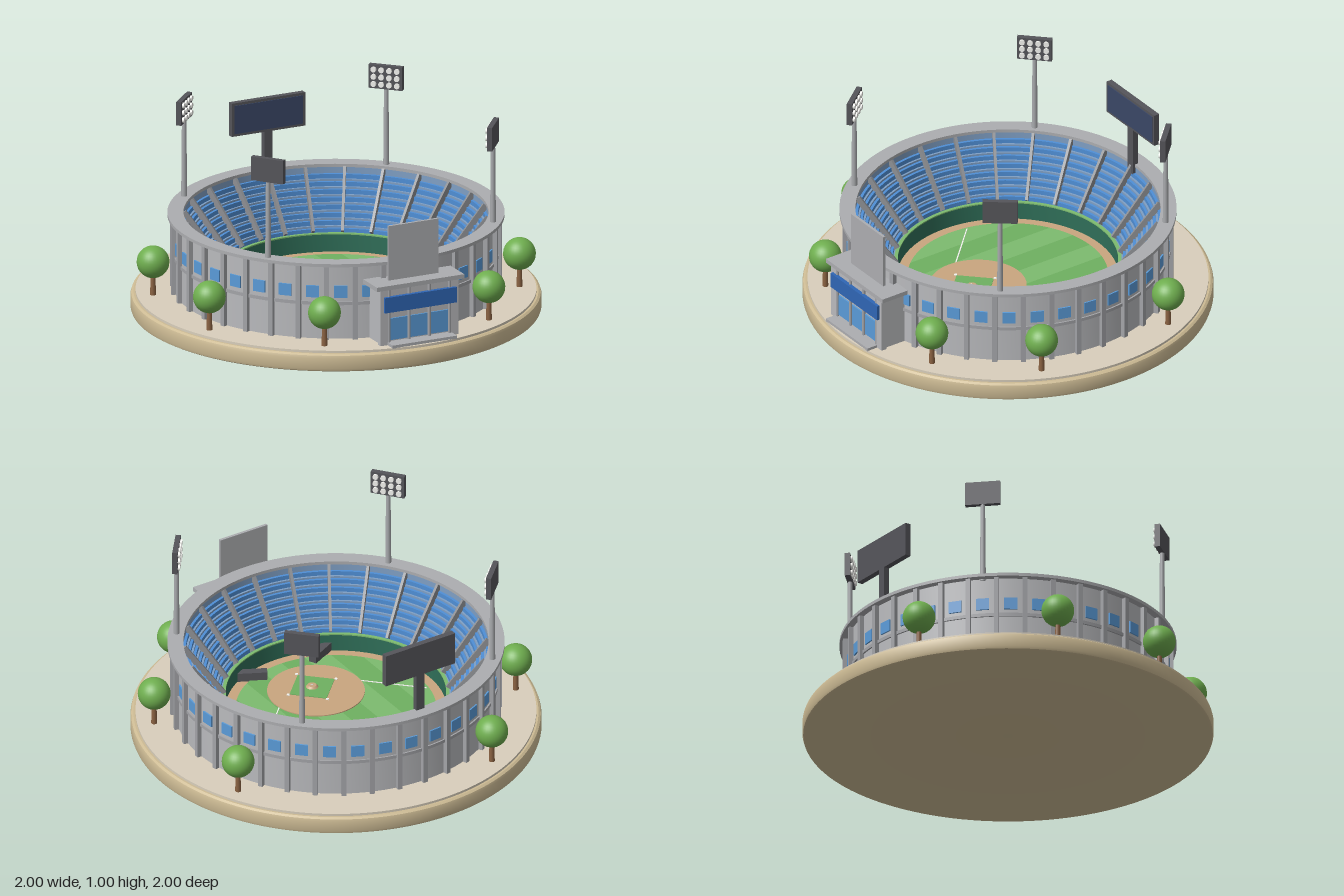
import * as THREE from 'three';
import { toCreasedNormals } from 'three/addons/utils/BufferGeometryUtils.js';

const mat = (color) => new THREE.MeshStandardMaterial({ color });
const M = {
  base: mat(0xcdbb94), plaza: mat(0xd9cfbc), wall: mat(0xb9babd), trim: mat(0xa3a4a8),
  rim: mat(0xacadb0), seat: mat(0x4f8fd6), step: mat(0x7f9fc4), aisle: mat(0x8d8f93),
  glass: mat(0x5a9bd8), sign: mat(0x2f66b5), fence: mat(0x2f6e58), dirt: mat(0xc9a67f),
  grassA: mat(0x6fb061), grassB: mat(0x7dbb6f), white: mat(0xf2f2ee), dark: mat(0x55555a),
  screen: mat(0x3a4766), trunk: mat(0x8a6242), leaf: mat(0x6fae4f), pole: mat(0xa8aaad),
};

function add(parent, name, geo, material, x = 0, y = 0, z = 0) {
  const m = new THREE.Mesh(geo, material);
  m.name = name;
  m.position.set(x, y, z);
  parent.add(m);
  return m;
}
const box = (w, h, d) => new THREE.BoxGeometry(w, h, d);
const cyl = (r0, r1, h, n = 20) => new THREE.CylinderGeometry(r0, r1, h, n);

// Revolved cross-section with crisp edges
function lathe(points, segments = 96) {
  const g = new THREE.LatheGeometry(points.map((p) => new THREE.Vector2(...p)), segments);
  return toCreasedNormals(g, 0.5);
}
const ring = (r0, r1, y0, y1) => lathe([[r0, y0], [r1, y0], [r1, y1], [r0, y1], [r0, y0]]);

// Group whose +z points outward from the centre at the given angle
function spoke(parent, name, angle) {
  const g = new THREE.Group();
  g.name = name;
  g.rotation.y = angle;
  parent.add(g);
  return g;
}

function addBase(root) {
  add(root, 'base', lathe([[0, 0], [0.985, 0], [0.996, 0.006], [1, 0.018], [1, 0.07],
    [0.996, 0.083], [0.985, 0.09], [0, 0.09]], 128), M.base);
  add(root, 'plaza', cyl(0.975, 0.975, 0.02, 128), M.plaza, 0, 0.092, 0);
}

function addShell(root) {
  add(root, 'outerWall', ring(0.75, 0.785, 0.1, 0.48), M.wall);
  add(root, 'beltCourse', ring(0.78, 0.793, 0.275, 0.292), M.trim);
  add(root, 'rim', ring(0.742, 0.82, 0.478, 0.494), M.rim);
  for (let i = 0; i < 36; i++) {
    const a = (i * Math.PI) / 18;
    add(spoke(root, 'pilaster', a), 'pilasterShaft', box(0.024, 0.38, 0.034), M.trim, 0, 0.29, 0.79);
    const w = spoke(root, 'window', a + Math.PI / 36);
    add(w, 'windowPane', box(0.064, 0.06, 0.016), M.glass, 0, 0.343, 0.784);
  }
}

function addStands(root) {
  // Stepped terrace with a band of seats on each tier
  const rows = 8, r0 = 0.55, r1 = 0.745, y0 = 0.2, y1 = 0.455;
  const dr = (r1 - r0) / rows, dy = (y1 - y0) / rows;
  const profile = [[r1 + 0.01, 0.1], [r1 + 0.01, 0.48], [r1, 0.48]];
  for (let i = rows - 1; i >= 0; i--) {
    const r = r0 + i * dr, y = y0 + i * dy;
    profile.push([r + dr, y], [r, y]);
    add(root, 'seatRow', ring(r + dr * 0.42, r + dr * 0.97, y, y + dy * 0.7), M.seat);
  }
  profile.push([r0, 0.1]);
  add(root, 'terrace', lathe(profile), M.step);
  // Radial stairways
  const rise = y1 - y0 + 0.01, run = r1 - r0;
  for (let i = 0; i < 24; i++) {
    const s = add(spoke(root, 'aisle', (i * Math.PI) / 12), 'aisleBeam',
      box(0.014, 0.03, Math.hypot(rise, run)), M.aisle, 0, 0.345, 0.645);
    s.rotation.x = -Math.atan2(rise, run);
  }
  add(root, 'fieldFence', ring(0.538, 0.551, 0.1, 0.2), M.fence);
  add(root, 'fenceCap', ring(0.536, 0.553, 0.2, 0.206), M.grassB);
}

function addField(root) {
  add(root, 'warningTrack', cyl(0.545, 0.545, 0.012, 96), M.dirt, 0, 0.106, 0);
  // Mown stripes clipped to a circle
  const R = 0.488, n = 8;
  for (let i = 0; i < n; i++) {
    const a0 = -R + (2 * R * i) / n, a1 = a0 + (2 * R) / n, pts = [];
    for (let k = 0; k <= 24; k++) {
      const x = a0 + ((a1 - a0) * k) / 24;
      pts.push(new THREE.Vector2(x, Math.sqrt(Math.max(0, R * R - x * x))));
    }
    const lower = pts.map((p) => new THREE.Vector2(p.x, -p.y)).reverse();
    const g = new THREE.ShapeGeometry(new THREE.Shape([...pts, ...lower]));
    add(root, 'grassStripe', g, i % 2 ? M.grassA : M.grassB, 0, 0.116, 0).rotation.x = -Math.PI / 2;
  }
  // Foul lines
  for (const s of [-1, 1]) {
    add(root, 'foulLine', box(0.006, 0.003, 0.66), M.white, s * 0.235, 0.117, 0.145)
      .rotation.y = -s * Math.PI / 4;
  }
  add(root, 'infieldDirt', cyl(0.238, 0.238, 0.006, 64), M.dirt, 0, 0.118, 0.18);
  add(root, 'infieldGrass', box(0.184, 0.006, 0.184), M.grassA, 0, 0.121, 0.215).rotation.y = Math.PI / 4;
  add(root, 'mound', cyl(0.022, 0.032, 0.012, 32), M.dirt, 0, 0.128, 0.215);
  add(root, 'moundPlate', box(0.014, 0.003, 0.005), M.white, 0, 0.135, 0.215);
  for (const [x, z] of [[0, 0.355], [0.138, 0.215], [0, 0.077], [-0.138, 0.215]]) {
    add(root, 'fieldBase', box(0.014, 0.005, 0.014), M.white, x, 0.122, z).rotation.y = Math.PI / 4;
  }
  // Dugouts
  for (const s of [-1, 1]) {
    const d = add(root, 'dugout', box(0.155, 0.045, 0.042), M.dark, s * 0.2, 0.135, 0.45);
    d.rotation.y = -s * 0.47;
  }
}

function addEntrance(root) {
  const g = new THREE.Group();
  g.name = 'entrance';
  root.add(g);
  add(g, 'entranceBlock', box(0.4, 0.285, 0.13), M.wall, 0, 0.2425, 0.825);
  add(g, 'entranceRoof', box(0.475, 0.022, 0.15), M.rim, 0, 0.397, 0.842);
  add(g, 'entranceStep', box(0.35, 0.016, 0.1), M.rim, 0, 0.108, 0.912);
  for (const s of [-1, 1]) add(g, 'sidePier', box(0.045, 0.285, 0.03), M.wall, s * 0.19, 0.2425, 0.89);
  for (const x of [-0.11, 0, 0.11]) add(g, 'door', box(0.1, 0.11, 0.012), M.glass, x, 0.178, 0.892);
  for (const x of [-0.165, -0.055, 0.055, 0.165]) {
    add(g, 'entranceColumn', cyl(0.008, 0.008, 0.27, 16), M.trim, x, 0.25, 0.9);
  }
  add(g, 'signBoard', box(0.39, 0.078, 0.02), M.sign, 0, 0.31, 0.91);
  add(g, 'tallPanel', box(0.272, 0.278, 0.014), M.rim, 0, 0.547, 0.834);
}

function addScoreboard(root) {
  const g = new THREE.Group();
  g.name = 'scoreboard';
  g.position.z = -0.745;
  root.add(g);
  add(g, 'scoreboardPost', box(0.045, 0.26, 0.03), M.dark, 0, 0.57, 0);
  add(g, 'scoreboardCase', box(0.4, 0.17, 0.03), M.dark, 0, 0.775, 0);
  add(g, 'scoreboardScreen', box(0.372, 0.144, 0.008), M.screen, 0, 0.775, 0.015);
}

function addLightTower(root, x, z) {
  const g = spoke(root, 'lightTower', Math.atan2(x, z));
  const r = Math.hypot(x, z);
  add(g, 'lightPole', cyl(0.011, 0.015, 0.43, 16), M.pole, 0, 0.685, r);
  add(g, 'lightHead', box(0.172, 0.12, 0.026), M.dark, 0, 0.94, r);
  for (let i = 0; i < 4; i++) {
    for (let j = 0; j < 3; j++) {
      const lamp = add(g, 'lamp', cyl(0.014, 0.014, 0.014, 16), M.white,
        (i - 1.5) * 0.04, 0.94 + (j - 1) * 0.037, r - 0.016);
      lamp.rotation.x = Math.PI / 2;
    }
  }
}

function addTree(root, x, z) {
  const g = new THREE.Group();
  g.name = 'tree';
  g.position.set(x, 0, z);
  root.add(g);
  add(g, 'treeTrunk', cyl(0.011, 0.015, 0.12, 12), M.trunk, 0, 0.155, 0);
  add(g, 'treeCrown', new THREE.SphereGeometry(0.08, 32, 20), M.leaf, 0, 0.27, 0);
}

export function createModel() {
  const root = new THREE.Group();
  root.name = 'stadium';
  addBase(root);
  addShell(root);
  addStands(root);
  addField(root);
  addEntrance(root);
  addScoreboard(root);
  for (const s of [-1, 1]) {
    addLightTower(root, s * 0.612, 0.482);
    addLightTower(root, s * 0.55, -0.55);
  }
  for (const [x, z] of [[-0.38, -0.81], [0.81, -0.38], [-0.84, -0.31], [-0.84, 0.3],
    [0.81, 0.375], [-0.45, 0.77], [0.445, 0.77]]) addTree(root, x, z);
  return root;
}
